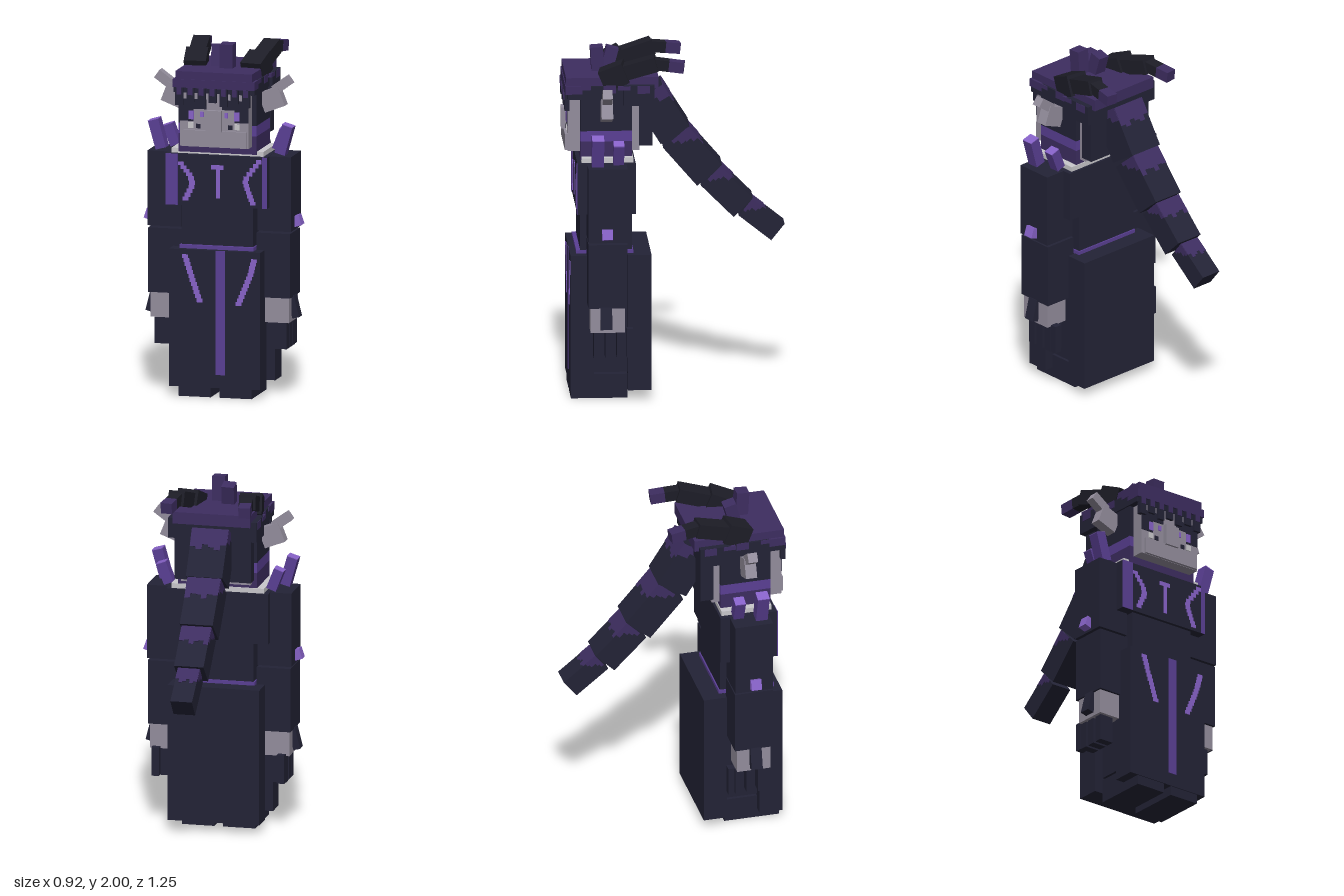
import * as THREE from 'three';

const mat = (name, color) => Object.assign(new THREE.MeshStandardMaterial({ color }), { name });
const M = {
  dark: mat('dark navy', 0x232336),
  black: mat('horn black', 0x1d1d27),
  plum: mat('plum', 0x3d2d60),
  violet: mat('violet', 0x5a3f94),
  bright: mat('bright violet', 0x8762c8),
  grey: mat('skin grey', 0x938d9c),
  pale: mat('pale grey', 0xc9c8cc),
};

export function createModel() {
  const root = new THREE.Group();
  root.name = 'hornedRobedFigure';

  // Box given by its limits on each axis
  const box = (name, m, x0, x1, y0, y1, z0, z1, parent = root) => {
    const mesh = new THREE.Mesh(new THREE.BoxGeometry(x1 - x0, y1 - y0, z1 - z0), m);
    mesh.position.set((x0 + x1) / 2, (y0 + y1) / 2, (z0 + z1) / 2);
    mesh.name = name;
    parent.add(mesh);
    return mesh;
  };
  // The same box on both sides
  const pair = (name, m, x0, x1, ...r) => {
    box(name + 'Left', m, x0, x1, ...r);
    box(name + 'Right', m, -x1, -x0, ...r);
  };
  // Tilted box running from a to b, w wide and h thick
  const beam = (name, m, a, b, w, h, up = [0, 1, 0]) => {
    const A = new THREE.Vector3(...a), B = new THREE.Vector3(...b);
    const mesh = new THREE.Mesh(new THREE.BoxGeometry(w, h, A.distanceTo(B)), m);
    mesh.up.set(...up);
    mesh.position.copy(A).add(B).multiplyScalar(0.5);
    mesh.lookAt(B);
    mesh.name = name;
    root.add(mesh);
    return mesh;
  };
  // Stepped rune line painted on a front face
  const rune = (name, pts, z, w) => {
    const g = new THREE.Group();
    g.name = name;
    root.add(g);
    for (let i = 0; i + 1 < pts.length; i++) {
      const [xa, ya] = pts[i], [xb, yb] = pts[i + 1];
      const n = Math.max(1, Math.round((ya - yb) / 0.022));
      for (let k = 0; k < n; k++) {
        const x = xa + (xb - xa) * (k + 0.5) / n, y = ya + (yb - ya) * k / n;
        box('runeStep', M.bright, x - w / 2, x + w / 2, y - (ya - yb) / n, y, z, z + 0.004, g);
      }
    }
  };

  // Legs and feet between the robe panels
  pair('leg', M.dark, 0.025, 0.212, 0.15, 0.84, 0.265, 0.455);
  pair('foot', M.dark, 0.025, 0.212, 0, 0.138, 0.265, 0.582);
  box('robeFront', M.dark, -0.267, 0.264, 0.055, 0.838, 0.455, 0.587);
  box('robeBack', M.dark, -0.267, 0.264, 0.055, 0.838, 0.132, 0.265);
  box('robeStripe', M.violet, 0.005, 0.06, 0.13, 0.838, 0.587, 0.59);
  rune('robeRuneRight', [[-0.175, 0.81], [-0.14, 0.7], [-0.085, 0.54]], 0.587, 0.034);
  rune('robeRuneLeft', [[0.23, 0.8], [0.205, 0.7], [0.135, 0.53]], 0.587, 0.034);

  // Torso
  box('belt', M.violet, -0.215, 0.215, 0.835, 0.858, 0.232, 0.553);
  box('waist', M.dark, -0.208, 0.206, 0.84, 1.09, 0.24, 0.53);
  box('chest', M.dark, -0.295, 0.293, 1.083, 1.375, 0.222, 0.55);
  box('chestBandRight', M.violet, -0.297, -0.225, 1.083, 1.375, 0.55, 0.553);
  box('chestBandLeft', M.violet, 0.265, 0.293, 1.083, 1.375, 0.55, 0.553);
  rune('chestRuneRight', [[-0.215, 1.33], [-0.15, 1.25], [-0.14, 1.2], [-0.185, 1.11]], 0.55, 0.034);
  rune('chestRuneLeft', [[0.255, 1.36], [0.165, 1.24], [0.175, 1.2], [0.215, 1.1]], 0.55, 0.032);
  box('chestRuneStem', M.bright, -0.002, 0.02, 1.13, 1.32, 0.55, 0.554);
  box('chestRuneBar', M.bright, -0.03, 0.04, 1.295, 1.32, 0.55, 0.5535);
  box('collar', M.pale, -0.268, 0.266, 1.375, 1.403, 0.235, 0.525);

  // Arms, hands and fingers
  pair('upperArm', M.dark, 0.222, 0.417, 0.948, 1.374, 0.275, 0.495);
  pair('forearm', M.dark, 0.217, 0.412, 0.568, 0.936, 0.275, 0.495);
  pair('hand', M.grey, 0.262, 0.402, 0.425, 0.567, 0.29, 0.482);
  for (const [i, z] of [0.285, 0.35, 0.415].entries())
    pair('finger' + i, M.dark, 0.297, 0.384, 0.272, 0.425, z, z + 0.048);
  pair('thumb', M.dark, 0.34, 0.384, 0.275, 0.44, 0.243, 0.28);
  for (const s of [1, -1]) {
    const side = s > 0 ? 'Left' : 'Right', Z = [0, 0, 1];
    beam('handSpike' + side, M.dark, [s * 0.396, 0.57, 0.395], [s * 0.427, 0.447, 0.395], 0.04, 0.065, Z);
    beam('elbowCrystal' + side, M.bright, [s * 0.405, 0.99, 0.39], [s * 0.45, 1.005, 0.39], 0.06, 0.06, Z);
    // Shoulder crystals
    beam('frontCrystal' + side, M.violet, [s * 0.345, 1.385, 0.44], [s * 0.39, 1.545, 0.44], 0.062, 0.068, Z);
    beam('backCrystal' + side, M.violet, [s * 0.295, 1.385, 0.32], [s * 0.34, 1.5, 0.32], 0.058, 0.06, Z);
    beam('frontCrystalTip' + side, M.bright, [s * 0.39, 1.545, 0.44], [s * 0.3912, 1.549, 0.44], 0.062, 0.068, Z);
    beam('backCrystalTip' + side, M.bright, [s * 0.34, 1.5, 0.32], [s * 0.3414, 1.504, 0.32], 0.058, 0.06, Z);
    // Ears
    beam('ear' + side, M.grey, [s * 0.225, 1.66, 0.385], [s * 0.34, 1.705, 0.385], 0.115, 0.065, Z);
    beam('earTip' + side, M.grey, [s * 0.295, 1.735, 0.385], [s * 0.385, 1.8, 0.385], 0.055, 0.055, Z);
    // Horns
    beam('hornBase' + side, M.black, [s * 0.165, 1.83, 0.40], [s * 0.185, 1.885, 0.27], 0.125, 0.12);
    beam('hornMiddle' + side, M.black, [s * 0.18, 1.865, 0.33], [s * 0.205, 1.935, 0.1], 0.095, 0.085);
    beam('hornTip' + side, M.black, [s * 0.203, 1.932, 0.12], [s * 0.215, 1.922, 0.03], 0.066, 0.062);
    beam('hornPoint' + side, M.plum, [s * 0.215, 1.922, 0.03], [s * 0.225, 1.913, -0.053], 0.066, 0.062);
  }

  // Head
  box('skull', M.grey, -0.2, 0.2, 1.43, 1.75, 0.195, 0.6);
  box('jawWrap', M.plum, -0.228, 0.228, 1.385, 1.49, 0.24, 0.53);
  box('cheekWrap', M.violet, -0.228, 0.228, 1.49, 1.55, 0.24, 0.53);
  box('headWrap', M.dark, -0.228, 0.228, 1.55, 1.8, 0.24, 0.53);
  box('backHood', M.dark, -0.22, 0.22, 1.46, 1.8, 0.125, 0.2);
  box('snout', M.grey, -0.178, 0.188, 1.432, 1.525, 0.59, 0.615);
  box('nose', M.grey, -0.042, 0.046, 1.52, 1.642, 0.59, 0.627);

  // Painted eye band, eyes and brows
  const face = 0.6;
  pair('eyeBand', M.dark, 0.12, 0.2, 1.575, 1.7, face, face + 0.003);
  pair('innerBand', M.dark, 0.046, 0.12, 1.645, 1.7, face, face + 0.003);
  pair('eye', M.bright, 0.118, 0.148, 1.585, 1.635, face, face + 0.006);
  pair('innerEye', M.bright, 0.06, 0.08, 1.6, 1.63, face, face + 0.005);
  pair('pupil', M.dark, 0.08, 0.105, 1.535, 1.56, face, face + 0.004);
  pair('tooth', M.pale, 0.12, 0.15, 1.535, 1.568, face, face + 0.006);

  // Hood cap with ragged fringe
  box('capBase', M.dark, -0.236, 0.236, 1.735, 1.81, 0.125, 0.603);
  box('capTop', M.plum, -0.223, 0.223, 1.79, 1.857, 0.09, 0.61);
  box('capRear', M.dark, -0.255, 0.255, 1.7, 1.815, 0.115, 0.29);
  box('capBand', M.plum, -0.237, 0.237, 1.765, 1.812, 0.52, 0.615);
  for (let i = 0; i < 7; i++) {
    const x = -0.222 + i * 0.0645, drop = i % 2 ? 0.02 : 0;
    box('fringeTab', M.dark, x, x + 0.044, 1.665 + drop, 1.765, 0.59, 0.618);
    box('fringeTrim', M.plum, x + 0.008, x + 0.036, 1.725, 1.765, 0.618, 0.622);
  }
  for (const [i, z] of [0.14, 0.25, 0.33, 0.47].entries())
    pair('capPatch' + i, M.plum, 0.236, i < 2 ? 0.258 : 0.239, i % 2 ? 1.79 : 1.77, 1.814, z, z + 0.07);

  // Crown spikes
  beam('frontSpike', M.plum, [0.03, 1.84, 0.42], [0.033, 1.995, 0.43], 0.075, 0.072, [0, 0, 1]);
  beam('rearSpike', M.plum, [-0.037, 1.84, 0.37], [-0.042, 1.97, 0.335], 0.072, 0.07, [0, 0, 1]);

  // Hanging tail of shrinking segments, each with a ragged patch at its upper end
  const tail = [
    [0.143, 1.73, -0.01, 1.487, 0.21, 0.19],
    [-0.013, 1.472, -0.204, 1.25, 0.19, 0.184],
    [-0.21, 1.243, -0.394, 1.058, 0.17, 0.153],
    [-0.407, 1.053, -0.59, 0.907, 0.125, 0.12],
  ];
  tail.forEach(([z0, y0, z1, y1, w, h], t) => {
    const seg = beam('tailSegment' + (t + 1), M.dark, [-0.002, y0, z0], [-0.002, y1, z1], w, h);
    const len = Math.hypot(z1 - z0, y1 - y0), start = -len / 2, n = 6;
    for (let i = 0; i < n; i++) {
      const reach = len * (0.38 + 0.06 * Math.sin(i * 2.1 + t * 1.7));
      const x = -w / 2 + i * w / n, y = -h / 2 + i * h / n;
      box('tailPatch', M.plum, x, x + w / n, h / 2, h / 2 + 0.003, start, start + reach, seg);
      if (i >= 2) for (const s of [1, -1])
        box('tailSidePatch', M.plum, s * w / 2 - 0.002, s * w / 2 + 0.002, y, y + h / n,
          start, start + reach * (i - 1) / 5, seg);
    }
  });

  return root;
}
